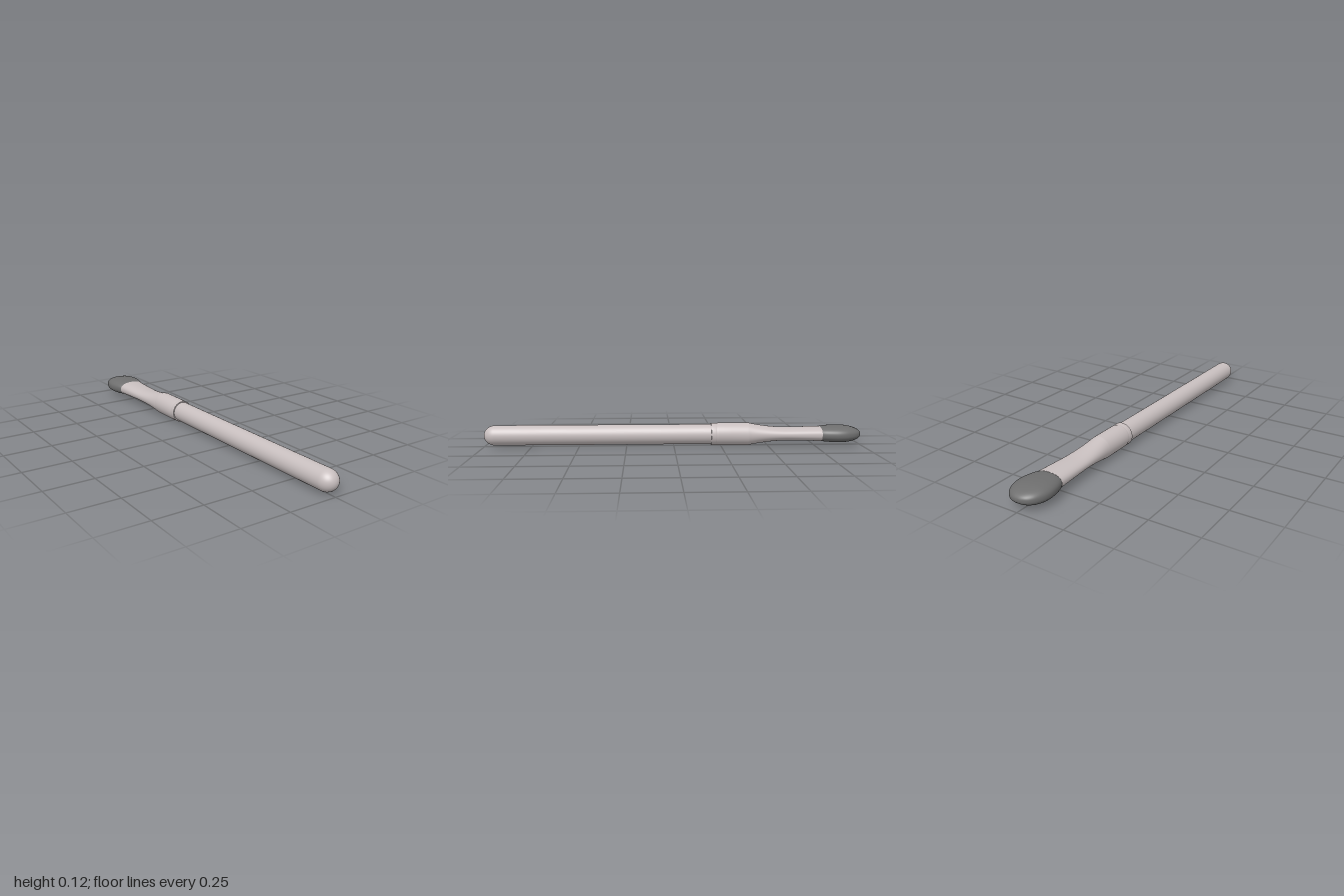
import * as THREE from 'three';

const AXIS_Y = 0.06;
const SEGMENTS = 56;

// Skin superellipse sections [z, halfWidth, halfHeight, exponent], z decreasing
function loft(sections) {
  const positions = [], indices = [];
  for (const [z, a, b, n = 2] of sections) {
    for (let j = 0; j < SEGMENTS; j++) {
      const t = (j / SEGMENTS) * Math.PI * 2, c = Math.cos(t), s = Math.sin(t);
      positions.push(
        a * Math.sign(c) * Math.abs(c) ** (2 / n),
        b * Math.sign(s) * Math.abs(s) ** (2 / n),
        z
      );
    }
  }
  for (let i = 0; i < sections.length - 1; i++) {
    for (let j = 0; j < SEGMENTS; j++) {
      const k = (j + 1) % SEGMENTS;
      const A = i * SEGMENTS + j, B = i * SEGMENTS + k;
      const C = A + SEGMENTS, D = B + SEGMENTS;
      indices.push(A, C, B, B, C, D);
    }
  }
  const g = new THREE.BufferGeometry();
  g.setAttribute('position', new THREE.Float32BufferAttribute(positions, 3));
  g.setIndex(indices);
  g.computeVertexNormals();
  return g;
}

export function createModel() {
  const model = new THREE.Group();
  model.name = 'brush';
  const body = new THREE.MeshStandardMaterial({ color: 0xc8bfbf });
  body.name = 'pale warm grey';
  const hair = new THREE.MeshStandardMaterial({ color: 0x6e6e6e });
  hair.name = 'dark grey';

  const add = (name, geometry, material) => {
    const mesh = new THREE.Mesh(geometry, material);
    mesh.name = name;
    mesh.position.y = AXIS_Y;
    model.add(mesh);
  };

  // Handle: straight rod with a domed end
  const R = 0.053, dome = 0.06;
  const profile = [new THREE.Vector2(R, -0.25)];
  for (let i = 0; i <= 14; i++) {
    const t = (i / 14) * Math.PI / 2;
    profile.push(new THREE.Vector2(R * Math.cos(t), 1 - dome + dome * Math.sin(t)));
  }
  add('handle', new THREE.LatheGeometry(profile, SEGMENTS).rotateX(Math.PI / 2), body);

  // Ferrule: round collar with a shallow groove
  const collar = [
    [-0.198, 0.058], [-0.2, 0.0595], [-0.22, 0.0595], [-0.224, 0.058],
    [-0.23, 0.058], [-0.234, 0.06], [-0.3, 0.06], [-0.39, 0.06], [-0.398, 0.0595],
  ];
  add('ferruleCollar', loft(collar.map(([z, r]) => [z, r, r])), body);
  const rim = new THREE.RingGeometry(R - 0.003, 0.058, SEGMENTS);
  rim.translate(0, 0, -0.198);
  add('ferruleRim', rim, body);

  // Ferrule: pinched part, flattening and widening toward the hair
  const pinch = [];
  for (let i = 0; i <= 24; i++) {
    const t = i / 24, z = -0.398 - 0.384 * t;
    const ease = Math.max(0, 1 - t / 0.6) ** 2;
    pinch.push([
      z,
      0.0595 + 0.0155 * t ** 1.3,
      0.034 + 0.0255 * ease + 0.004 * Math.max(0, t - 0.5) * 2,
      2 + 0.4 * t,
    ]);
  }
  add('ferruleNeck', loft(pinch), body);
  add('ferruleLip', loft([[-0.782, 0.075, 0.038, 2.4], [-0.782, 0.05, 0.025, 2.4]]), body);

  // Bristles: flattened rounded tuft
  const tuft = new THREE.CatmullRomCurve3([
    [-0.775, 0.071, 0.036], [-0.8, 0.082, 0.04], [-0.84, 0.092, 0.043],
    [-0.88, 0.096, 0.044], [-0.92, 0.091, 0.042], [-0.96, 0.074, 0.034],
    [-0.985, 0.05, 0.023], [-0.997, 0.023, 0.011], [-1, 0, 0],
  ].map((p) => new THREE.Vector3(...p)));
  const sections = tuft.getPoints(40).map((p) => [p.x, Math.max(p.y, 0), Math.max(p.z, 0), 2.4]);
  add('bristles', loft(sections), hair);

  return model;
}
